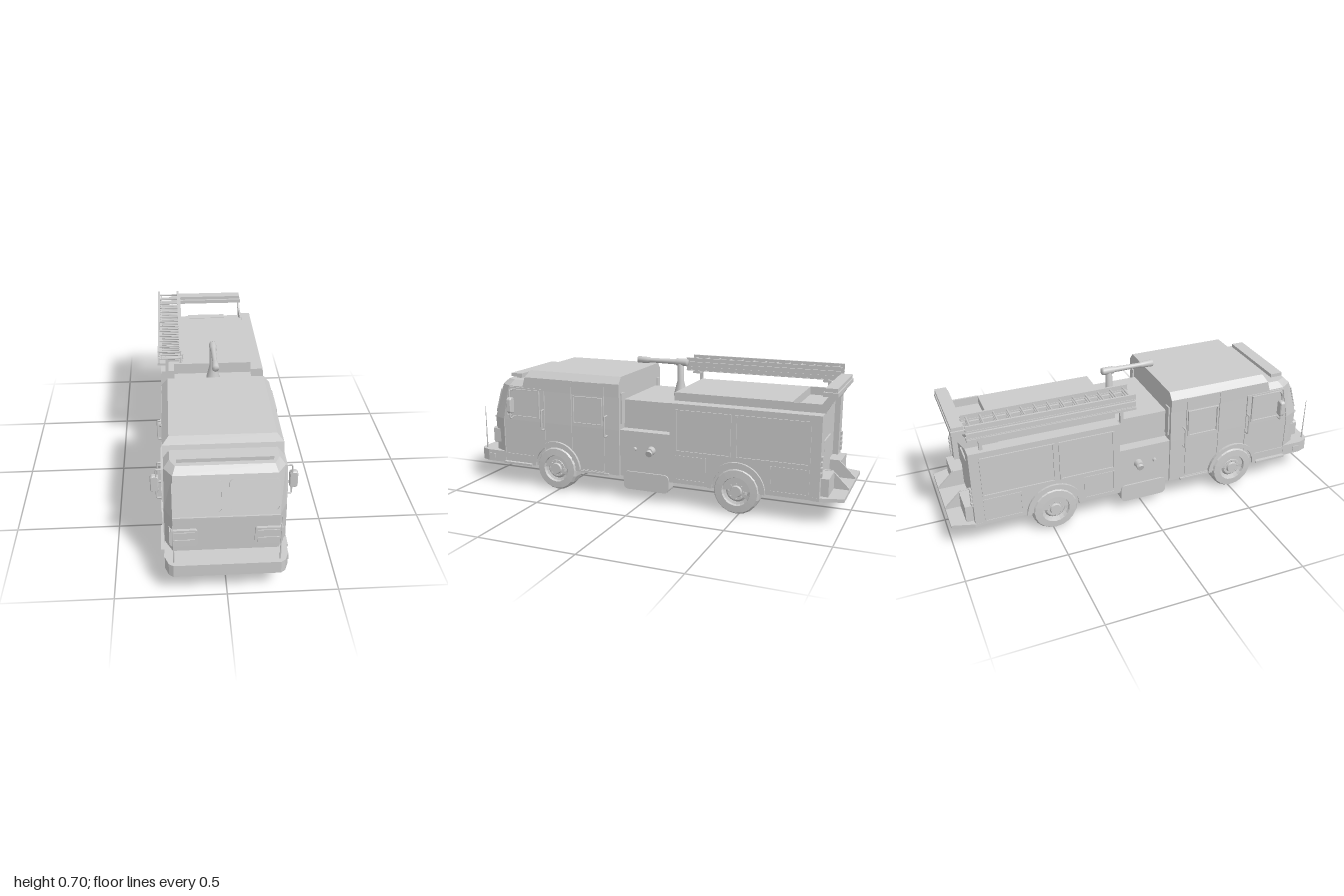
import * as THREE from 'three';

const mat = new THREE.MeshStandardMaterial({ color: 0xcccccc, side: THREE.DoubleSide });
const flat = new THREE.MeshStandardMaterial({ color: 0xcccccc, flatShading: true, side: THREE.DoubleSide });
const V = (x, y, z) => new THREE.Vector3(x, y, z);

export function createModel() {
  const root = new THREE.Group();
  root.name = 'fireEngine';

  const add = (name, geo, m = mat) => {
    const mesh = new THREE.Mesh(geo, m);
    mesh.name = name;
    root.add(mesh);
    return mesh;
  };
  // box from its limits
  const box = (name, x0, x1, y0, y1, z0, z1) => add(name,
    new THREE.BoxGeometry(x1 - x0, y1 - y0, z1 - z0).translate((x0 + x1) / 2, (y0 + y1) / 2, (z0 + z1) / 2));
  // the same box on both sides
  const boxes = (name, x0, x1, ...r) => { box(name, x0, x1, ...r); box(name, -x1, -x0, ...r); };
  const toShape = pts => new THREE.Shape(pts.map(p => new THREE.Vector2(...p)));
  const roundRect = (x0, x1, y0, y1, r) => {
    const s = new THREE.Shape();
    s.absarc(x1 - r, y1 - r, r, 0, Math.PI / 2);
    s.absarc(x0 + r, y1 - r, r, Math.PI / 2, Math.PI);
    s.absarc(x0 + r, y0 + r, r, Math.PI, Math.PI * 1.5);
    s.absarc(x1 - r, y0 + r, r, Math.PI * 1.5, Math.PI * 2);
    return s;
  };
  // (z, y) outline extruded from x0 to x1, on one or both sides
  const plate = (name, shape, x0, x1, sides = [1, -1]) => {
    for (const s of sides) {
      const g = new THREE.ExtrudeGeometry(shape, { depth: x1 - x0, bevelEnabled: false, curveSegments: 10 });
      add(name, g.rotateY(-Math.PI / 2).translate(s > 0 ? x1 : -x0, 0, 0));
    }
  };
  // raised frame with a hole, around an outline
  const framed = (pts, k) => {
    const cx = pts.reduce((a, p) => a + p[0], 0) / pts.length, cy = pts.reduce((a, p) => a + p[1], 0) / pts.length;
    const s = toShape(pts);
    s.holes.push(new THREE.Path(pts.map(([x, y]) => new THREE.Vector2(cx + (x - cx) * k, cy + (y - cy) * k))));
    return s;
  };
  const rect = (z0, z1, y0, y1) => [[z0, y0], [z1, y0], [z1, y1], [z0, y1]];
  // symmetric solid through footprints [y, [x, z]...] given from back to front
  const loft = (name, layers) => {
    const rings = layers.map(([y, ...h]) => [...h.map(([x, z]) => [x, y, z]), ...[...h].reverse().map(([x, z]) => [-x, y, z])]);
    const n = rings[0].length, p = [];
    for (let k = 0; k + 1 < rings.length; k++) for (let i = 0; i < n; i++) {
      const j = (i + 1) % n, a = rings[k], b = rings[k + 1];
      p.push(...a[i], ...b[i], ...a[j], ...a[j], ...b[i], ...b[j]);
    }
    const lo = rings[0], hi = rings.at(-1);
    for (let i = 1; i + 1 < n; i++) p.push(...lo[0], ...lo[i], ...lo[i + 1], ...hi[0], ...hi[i + 1], ...hi[i]);
    const g = new THREE.BufferGeometry();
    g.setAttribute('position', new THREE.Float32BufferAttribute(p, 3));
    g.computeVertexNormals();
    return add(name, g, flat);
  };
  const tube = (name, pts, r) => {
    const path = new THREE.CurvePath();
    for (let i = 0; i + 1 < pts.length; i++) path.add(new THREE.LineCurve3(pts[i], pts[i + 1]));
    return add(name, new THREE.TubeGeometry(path, pts.length * 8, r, 6));
  };

  // cab, with sloped windscreen and raised rear roof
  loft('cab', [
    [0.12, [0.27, 0.14], [0.27, 0.83], [0.235, 0.9]],
    [0.36, [0.27, 0.14], [0.27, 0.83], [0.235, 0.905]],
    [0.545, [0.266, 0.14], [0.266, 0.79], [0.228, 0.85]],
    [0.575, [0.24, 0.14], [0.24, 0.77], [0.215, 0.82]],
  ]);
  loft('raisedRoof', [
    [0.53, [0.27, 0.14], [0.27, 0.71]],
    [0.597, [0.27, 0.14], [0.27, 0.69]],
    [0.632, [0.24, 0.14], [0.24, 0.67]],
  ]);
  box('lightBar', -0.21, 0.21, 0.585, 0.603, 0.745, 0.81);
  boxes('lightBarFoot', 0.15, 0.19, 0.57, 0.586, 0.76, 0.79);

  // windscreen panes
  for (const s of [1, -1]) {
    const outer = roundRect(-0.109, 0.109, -0.075, 0.075, 0.018);
    outer.holes.push(roundRect(-0.104, 0.104, -0.07, 0.07, 0.015));
    const g = new THREE.ExtrudeGeometry(outer, { depth: 0.006, bevelEnabled: false, curveSegments: 5 });
    add('windscreenFrame', g).position.set(s * 0.125, 0.452, 0.877);
    root.children.at(-1).rotation.x = -0.289;
    // headlight cluster
    const lamp = new THREE.ExtrudeGeometry(roundRect(-0.06, 0.06, -0.043, 0.043, 0.012), { depth: 0.02, bevelEnabled: false });
    add('headlight', lamp).position.set(s * 0.186, 0.258, 0.897);
    for (const y of [0.238, 0.278]) box('headlightLens', s * 0.186 - 0.048, s * 0.186 + 0.048, y - 0.013, y + 0.013, 0.91, 0.921);
  }
  boxes('cornerLamp', 0.236, 0.25, 0.222, 0.295, 0.865, 0.912);
  box('windscreenSill', -0.235, 0.235, 0.357, 0.364, 0.89, 0.911);

  // doors and windows of the cab
  plate('frontDoor', framed([[0.575, 0.165], [0.83, 0.165], [0.83, 0.36], [0.79, 0.54], [0.575, 0.54]], 0.97), 0.262, 0.274);
  plate('frontWindow', framed([[0.605, 0.38], [0.812, 0.38], [0.81, 0.43], [0.78, 0.53], [0.605, 0.53]], 0.92), 0.262, 0.277);
  plate('rearDoor', framed(rect(0.225, 0.415, 0.125, 0.597), 0.975), 0.262, 0.274);
  plate('rearWindow', framed(rect(0.235, 0.405, 0.375, 0.52), 0.92), 0.262, 0.277);
  for (const s of [1, -1]) {
    for (const z of [0.58, 0.21]) tube('grabHandle', [V(s * 0.268, 0.325, z), V(s * 0.297, 0.325, z), V(s * 0.297, 0.43, z), V(s * 0.268, 0.43, z)], 0.005);
    // mirror on its bracket
    tube('mirrorBracket', [V(s * 0.262, 0.375, 0.77), V(s * 0.3, 0.375, 0.77), V(s * 0.3, 0.525, 0.77), V(s * 0.255, 0.525, 0.77)], 0.004);
    const m = new THREE.ExtrudeGeometry(roundRect(-0.015, 0.015, -0.038, 0.038, 0.01), { depth: 0.018, bevelSize: 0.004, bevelThickness: 0.004, bevelSegments: 1 });
    add('mirror', m).position.set(s * 0.308, 0.448, 0.752);
    // antenna
    add('antenna', new THREE.CylinderGeometry(0.0015, 0.004, 0.24, 6).translate(s * 0.232, 0.29, 0.975));
    box('rearCabWindow', s * 0.232 - 0.018, s * 0.232 + 0.018, 0.39, 0.55, 0.132, 0.142);
  }

  // bumper
  const bumper = [[0.272, 0.83], [0.272, 0.94], [0.255, 0.985], [0.235, 1]];
  loft('bumper', [[0.115, ...bumper], [0.177, ...bumper]]);
  boxes('bumperLamp', 0.25, 0.276, 0.132, 0.158, 0.895, 0.935);
  boxes('towEye', 0.08, 0.12, 0.111, 0.12, 0.95, 0.99);
  boxes('cabStep', 0.25, 0.289, 0.115, 0.126, 0.655, 0.83);
  boxes('crewStep', 0.25, 0.28, 0.115, 0.126, 0.2, 0.365);

  // pump section
  box('pumpHousing', -0.205, 0.205, 0.12, 0.51, -0.14, 0.145);
  box('pumpPanel', -0.26, 0.26, 0.12, 0.362, -0.14, 0.145);
  plate('pumpStep', roundRect(-0.13, 0.118, 0.055, 0.15, 0.025), 0.2, 0.268);
  for (const s of [1, -1]) {
    for (const [z, r, l] of [[-0.035, 0.023, 0.03], [0.055, 0.01, 0.015]])
      add('hoseOutlet', new THREE.CylinderGeometry(r * 0.85, r, l, 12).rotateZ(-s * Math.PI / 2).translate(s * (0.26 + l / 2), 0.27, z));
    const cap = new THREE.CylinderGeometry(0.017, 0.02, 0.03, 12).rotateZ(-s * 1.9);
    add('outletCap', cap.translate(s * 0.283, 0.265, -0.035));
  }

  // water cannon
  const pedestal = [[0, 0.505], [0.036, 0.505], [0.034, 0.52], [0.018, 0.585], [0.017, 0.68], [0, 0.68]];
  add('cannonPedestal', new THREE.LatheGeometry(pedestal.map(p => new THREE.Vector2(...p)), 16).translate(0, 0, -0.09));
  const barrel = [[0, -0.13], [0.016, -0.13], [0.019, -0.12], [0.019, -0.07], [0.014, -0.06], [0.012, 0.08], [0.016, 0.09], [0.018, 0.15], [0, 0.15]];
  add('cannonBarrel', new THREE.LatheGeometry(barrel.map(p => new THREE.Vector2(...p)), 14).rotateX(Math.PI / 2).translate(0, 0.686, 0));

  // rear body with recessed tail, hose bed and lockers
  box('rearBody', -0.272, 0.272, 0.12, 0.527, -0.86, -0.138);
  boxes('tailPillar', 0.2, 0.272, 0.12, 0.527, -0.888, -0.86);
  box('hoseBed', -0.205, 0.205, 0.52, 0.568, -0.73, -0.138);
  box('hoseBedEnd', -0.11, 0.11, 0.52, 0.535, -0.86, -0.81);
  for (const [a, b] of [[-0.455, -0.17], [-0.84, -0.475]]) plate('lockerShutter', framed(rect(a, b, 0.285, 0.497), 0.95), 0.265, 0.278);
  for (const [a, b] of [[-0.33, -0.17], [-0.84, -0.65]]) plate('lowerLocker', framed(rect(a, b, 0.14, 0.265), 0.95), 0.265, 0.275);

  // tail board, steps and lamps
  const board = [[0.24, -1], [0.273, -0.89], [0.273, -0.85]];
  loft('tailBoard', [[0.118, ...board], [0.135, ...board]]);
  boxes('tailStep', 0.1, 0.24, 0.13, 0.222, -0.925, -0.85);
  plate('stepGusset', toShape([[-0.86, 0.13], [-0.998, 0.13], [-0.998, 0.143], [-0.915, 0.224], [-0.86, 0.224]]), 0.088, 0.1);
  box('tailDoor', -0.085, 0.085, 0.15, 0.36, -0.868, -0.85);
  for (let i = 0; i < 4; i++) boxes('tailLamp', 0.243, 0.268, 0.235 + i * 0.026, 0.255 + i * 0.026, -0.896, -0.88);

  // rear gantry
  plate('gantryBracket', toShape([[-0.73, 0.525], [-0.73, 0.568], [-0.87, 0.568], [-0.9, 0.61], [-0.938, 0.61], [-0.888, 0.525]]), 0.2, 0.21);
  box('gantryBar', -0.212, 0.212, 0.605, 0.625, -0.942, -0.872);
  box('gantryLightBar', -0.208, 0.208, 0.628, 0.645, -0.938, -0.88);
  box('gantryCore', -0.2, 0.2, 0.62, 0.63, -0.93, -0.89);

  // stacked ladders on their rack
  const ladder = (x0, x1, y, h) => {
    for (const x of [x0, x1]) {
      box('ladderRail', x - 0.002, x + 0.002, y - h, y + h, -0.885, -0.06);
      for (const e of [-1, 1]) box('ladderFlange', x - 0.005, x + 0.005, y + e * h - 0.002, y + e * h + 0.002, -0.885, -0.06);
    }
    for (let i = 0; i < 13; i++)
      add('ladderRung', new THREE.CylinderGeometry(0.005, 0.005, x1 - x0, 6).rotateZ(Math.PI / 2).translate((x0 + x1) / 2, y, -0.085 - i * 0.0645));
  };
  ladder(-0.282, -0.17, 0.669, 0.013);
  ladder(-0.27, -0.16, 0.65, 0.012);
  ladder(-0.282, -0.17, 0.63, 0.013);
  for (const z of [-0.12, -0.82]) {
    box('ladderRack', -0.29, -0.16, 0.603, 0.615, z - 0.02, z + 0.02);
    box('ladderPost', -0.25, -0.235, 0.52, 0.605, z - 0.008, z + 0.008);
  }
  box('ladderTray', -0.29, -0.25, 0.602, 0.614, -0.885, -0.06);

  // wheels and arches
  const tyre = [[0, 0.2], [0.105, 0.2], [0.117, 0.207], [0.117, 0.265], [0.108, 0.279], [0.072, 0.281], [0.068, 0.268], [0.055, 0.262], [0.045, 0.272], [0.03, 0.272], [0.026, 0.282], [0, 0.282]];
  for (const z of [0.51, -0.487]) {
    for (const s of [1, -1]) {
      const g = new THREE.LatheGeometry(tyre.map(p => new THREE.Vector2(...p)), 20).rotateZ(-Math.PI / 2);
      if (s < 0) g.rotateY(Math.PI);
      add('wheel', g.translate(0, 0.118, z), flat);
      for (let i = 0; i < 8; i++) {
        const a = i * Math.PI / 4;
        add('wheelNut', new THREE.CylinderGeometry(0.004, 0.004, 0.01, 6).rotateZ(Math.PI / 2)
          .translate(s * 0.274, 0.118 + 0.038 * Math.sin(a), z + 0.038 * Math.cos(a)));
      }
    }
    const arch = new THREE.Shape();
    arch.absarc(z, 0.12, 0.145, 0, Math.PI, false);
    arch.absarc(z, 0.12, 0.123, Math.PI, 0, true);
    plate('wheelArch', arch, 0.262, 0.284);
  }
  return root;
}
